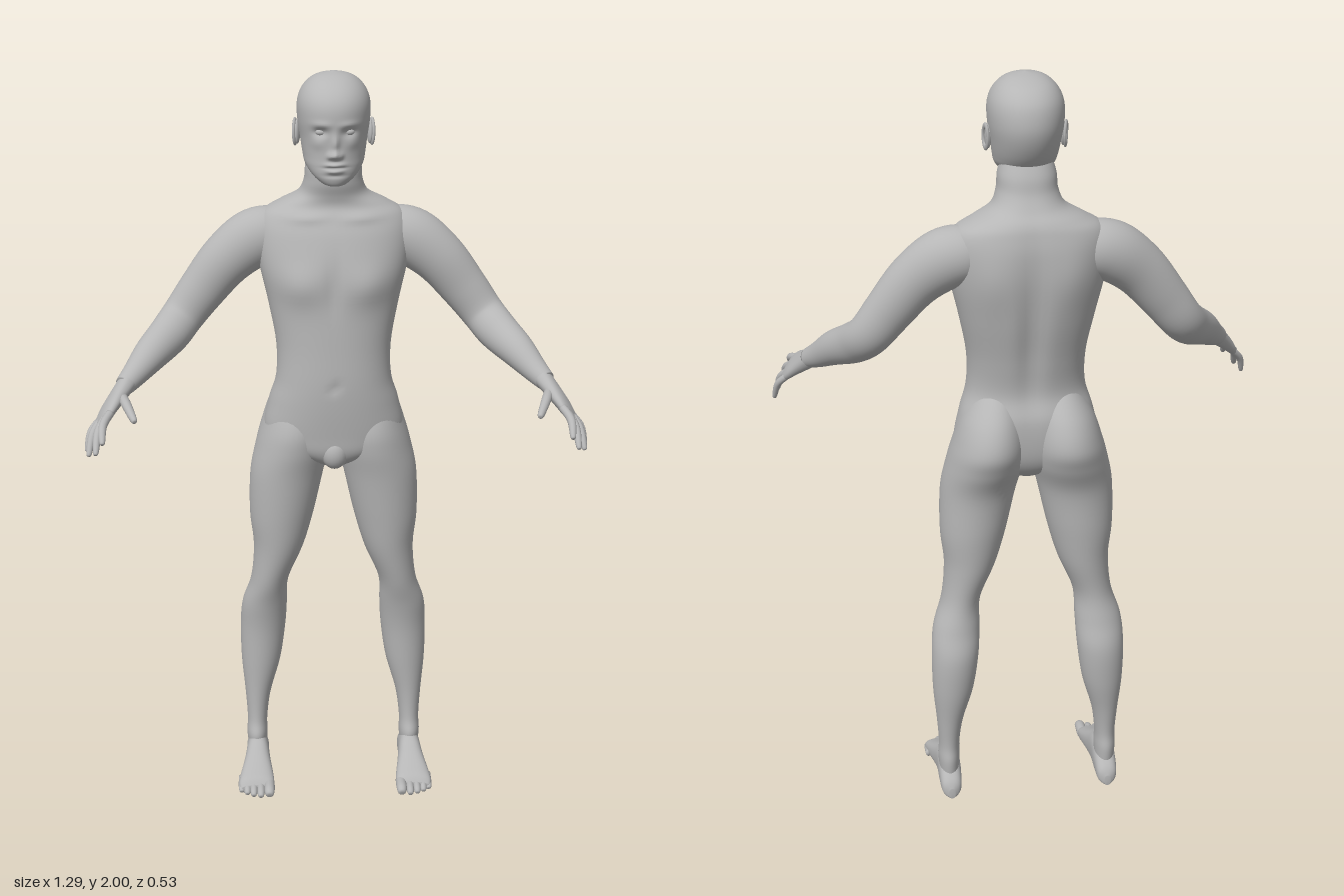
import * as THREE from 'three';

const skin = new THREE.MeshStandardMaterial({ color: 0xb6b6b6 });
skin.name = 'skin grey';

// Smoothly interpolate rows of numbers, k steps between neighbours
function smoothRows(rows, k) {
  const out = [], n = rows.length - 1;
  for (let i = 0; i < n; i++) {
    const a = rows[Math.max(i - 1, 0)], b = rows[i], c = rows[i + 1], d = rows[Math.min(i + 2, n)];
    for (let s = 0; s < k; s++) {
      const t = s / k;
      out.push(b.map((_, j) => b[j] + 0.5 * t * (c[j] - a[j] + t * (2 * a[j] - 5 * b[j] + 4 * c[j] - d[j]
        + t * (3 * (b[j] - c[j]) + d[j] - a[j])))));
    }
  }
  out.push(rows[n].slice());
  return out;
}

// Skin a chain of cross-sections [x, y, z, radius along side, radius across]
function loft(rows, { side = [1, 0, 0], along = null, segs = 32, k = 6, pow = 2, rule = null } = {}) {
  const R = smoothRows(rows, k), pos = [], idx = [], p = new THREE.Vector3();
  const C = R.map(r => new THREE.Vector3(r[0], r[1], r[2]));
  const se = v => Math.sign(v) * Math.abs(v) ** (2 / pow);
  R.forEach((r, i) => {
    const T = along ? new THREE.Vector3(...along)
      : C[Math.min(i + 1, C.length - 1)].clone().sub(C[Math.max(i - 1, 0)]).normalize();
    const U = new THREE.Vector3(...side);
    U.addScaledVector(T, -U.dot(T)).normalize();
    const V = T.clone().cross(U);
    for (let j = 0; j < segs; j++) {
      const a = j / segs * Math.PI * 2;
      p.copy(C[i]).addScaledVector(U, Math.max(r[3], 0.0005) * se(Math.cos(a)))
        .addScaledVector(V, Math.max(r[4], 0.0005) * se(Math.sin(a)));
      if (rule) rule(p, C[i]);
      pos.push(p.x, p.y, p.z);
      if (i < R.length - 1) {
        const q = i * segs + j, w = i * segs + (j + 1) % segs;
        idx.push(q, w, w + segs, q, w + segs, q + segs);
      }
    }
  });
  // close both ends
  const last = (R.length - 1) * segs, c0 = pos.length / 3;
  pos.push(...C[0].toArray(), ...C[C.length - 1].toArray());
  for (let j = 0; j < segs; j++) {
    const m = (j + 1) % segs;
    idx.push(c0, m, j, c0 + 1, last + j, last + m);
  }
  const g = new THREE.BufferGeometry();
  g.setAttribute('position', new THREE.Float32BufferAttribute(pos, 3));
  g.setIndex(idx);
  g.computeVertexNormals();
  return g;
}

// Horizontal slice from height, centre x, half width, front z and back z
const slice = ([y, x, w, f, b]) => [x, y, (f + b) / 2, w, (f - b) / 2];
const upright = (rows, opts) => loft(rows.map(slice), { along: [0, 1, 0], ...opts });

// Soft swellings and hollows [x, y, spread x, spread y, push z], mirrored in x
const sculpt = (front, back) => (p, c) => {
  const facing = Math.min(1, Math.abs(p.z - c.z) / 0.03);
  let dz = 0;
  for (const [x, y, sx, sy, push] of p.z > c.z ? front : back)
    dz += push * Math.exp(-(((Math.abs(p.x) - x) / sx) ** 2) - ((p.y - y) / sy) ** 2);
  p.z += dz * facing;
};

function ball(x, y, z, rx, ry, rz) {
  return new THREE.SphereGeometry(1, 24, 16).scale(rx, ry, rz).translate(x, y, z);
}

function mirrored(geo) {
  const g = geo.clone().scale(-1, 1, 1), a = g.index.array;
  for (let i = 0; i < a.length; i += 3) [a[i], a[i + 1]] = [a[i + 1], a[i]];
  g.computeVertexNormals();
  return g;
}

// Tapered digit through base, middle and tip
function digit(base, mid, tip, r, side) {
  const near = tip.map((v, i) => v + (mid[i] - v) * 0.12);
  return loft([[...base, r, r], [...mid, r, r], [...near, r * 0.72, r * 0.68], [...tip, 0.001, 0.001]],
    { side, segs: 14, k: 5 });
}

export function createModel() {
  const model = new THREE.Group();
  model.name = 'standingFigure';
  const add = (name, geo) => {
    const m = new THREE.Mesh(geo, skin);
    m.name = name;
    model.add(m);
  };
  const pair = (name, geo) => {
    add('left' + name, geo);
    add('right' + name, mirrored(geo));
  };

  // Torso and neck
  add('torso', upright([
    [0.945, 0, 0.02, -0.06, -0.13], [0.965, 0, 0.06, -0.025, -0.17], [1.0, 0, 0.15, -0.004, -0.2],
    [1.05, 0, 0.186, 0.002, -0.215], [1.13, 0, 0.173, 0.009, -0.218], [1.2, 0, 0.153, 0.011, -0.202],
    [1.29, 0, 0.152, 0.007, -0.215], [1.4, 0, 0.172, 0.002, -0.238], [1.5, 0, 0.194, -0.003, -0.25],
    [1.58, 0, 0.2, -0.024, -0.25], [1.63, 0, 0.185, -0.046, -0.242], [1.658, 0, 0.142, -0.058, -0.232],
    [1.685, 0, 0.093, -0.055, -0.212], [1.72, 0, 0.076, -0.045, -0.193], [1.76, 0, 0.072, -0.045, -0.183],
    [1.8, 0, 0.06, -0.06, -0.165]], {
    segs: 72, pow: 2.2,
    rule: sculpt(
      [[0.09, 1.46, 0.06, 0.05, 0.014], [0, 1.47, 0.018, 0.07, -0.006], [0, 1.19, 0.012, 0.014, -0.006],
        [0.07, 1.63, 0.05, 0.012, 0.006]],
      [[0, 1.38, 0.03, 0.2, 0.016], [0.1, 1.52, 0.05, 0.08, -0.008]]),
  }));
  add('groin', ball(0, 1.0, -0.026, 0.036, 0.045, 0.034));

  // Head with sculpted face
  add('head', upright([
    [1.724, 0, 0.008, -0.002, -0.03], [1.73, 0, 0.03, 0.014, -0.05], [1.75, 0, 0.056, 0.022, -0.1],
    [1.775, 0, 0.074, 0.022, -0.155], [1.8, 0, 0.08, 0.021, -0.182], [1.84, 0, 0.086, 0.022, -0.205],
    [1.88, 0, 0.092, 0.028, -0.216], [1.92, 0, 0.093, 0.026, -0.213], [1.95, 0, 0.085, 0.012, -0.2],
    [1.975, 0, 0.067, -0.015, -0.173], [1.992, 0, 0.04, -0.05, -0.132], [2.0, 0, 0.001, -0.088, -0.092]], {
    segs: 112, k: 9, pow: 2.1,
    rule: sculpt(
      [[0.036, 1.863, 0.018, 0.011, -0.011], [0.035, 1.883, 0.024, 0.008, 0.004],
        [0, 1.808, 0.011, 0.01, 0.021], [0, 1.835, 0.009, 0.022, 0.012], [0.013, 1.805, 0.007, 0.007, 0.008],
        [0, 1.783, 0.02, 0.005, 0.01], [0, 1.767, 0.018, 0.005, 0.009], [0, 1.775, 0.026, 0.0025, -0.004],
        [0, 1.755, 0.03, 0.005, -0.003], [0.045, 1.835, 0.018, 0.015, 0.004]], []),
  }));
  pair('Eye', ball(0.035, 1.863, 0.002, 0.014, 0.009, 0.011));

  // Ears: a lobe and a raised rim
  const tilt = g => g.rotateY(Math.PI / 2 + 0.3).rotateX(-0.12).translate(0.092, 1.846, -0.097);
  pair('Ear', tilt(ball(0, 0, 0, 0.014, 0.031, 0.007)));
  pair('EarRim', tilt(new THREE.TorusGeometry(0.014, 0.004, 10, 28).scale(1, 2, 1).translate(0, 0, 0.006)));

  // Legs, from ankle to buttock
  pair('Leg', upright([
    [0.04, 0.218, 0.024, -0.105, -0.178], [0.1, 0.219, 0.029, -0.086, -0.184], [0.15, 0.218, 0.028, -0.098, -0.18],
    [0.23, 0.215, 0.036, -0.1, -0.19], [0.335, 0.205, 0.055, -0.095, -0.208], [0.44, 0.198, 0.063, -0.089, -0.214],
    [0.52, 0.192, 0.062, -0.075, -0.197], [0.6, 0.177, 0.052, -0.054, -0.185], [0.7, 0.152, 0.068, -0.036, -0.195],
    [0.8, 0.142, 0.087, -0.024, -0.205], [0.92, 0.127, 0.099, -0.013, -0.214], [1.0, 0.109, 0.101, -0.003, -0.246],
    [1.06, 0.1, 0.093, -0.005, -0.262], [1.13, 0.092, 0.076, -0.03, -0.238], [1.2, 0.08, 0.045, -0.07, -0.18]],
  { segs: 40 }));

  // Feet, from heel to ball, then toes
  const foot = [[-0.206, 0.218, 0.008, 0.03], [-0.192, 0.218, 0.026, 0.056], [-0.15, 0.218, 0.031, 0.09],
    [-0.1, 0.218, 0.032, 0.104], [-0.055, 0.219, 0.037, 0.086], [0, 0.221, 0.047, 0.058],
    [0.03, 0.222, 0.049, 0.043], [0.046, 0.222, 0.044, 0.026]];
  pair('Foot', loft(foot.map(([z, x, w, h]) => [x, h / 2, z, w, h / 2]), { along: [0, 0, 1], segs: 36, pow: 2.4 }));
  [[0.186, 0.081, 0.0145], [0.21, 0.08, 0.0105], [0.23, 0.073, 0.01], [0.248, 0.062, 0.0095], [0.264, 0.048, 0.009]]
    .forEach(([x, z, r], i) => pair('Toe' + (i + 1),
      digit([x, 0.022, z - 0.06], [x, r + 0.007, z - 0.018], [x, r, z], r, [1, 0, 0])));

  // Arms, from shoulder to wrist
  pair('Arm', loft([
    [0.1, 1.575, -0.155, 0.045, 0.05], [0.15, 1.572, -0.152, 0.066, 0.07], [0.21, 1.556, -0.146, 0.07, 0.077],
    [0.28, 1.503, -0.136, 0.062, 0.07], [0.345, 1.425, -0.13, 0.052, 0.062], [0.395, 1.36, -0.118, 0.048, 0.056],
    [0.43, 1.322, -0.075, 0.048, 0.054], [0.475, 1.287, -0.015, 0.044, 0.046], [0.515, 1.25, 0.035, 0.034, 0.034],
    [0.542, 1.227, 0.07, 0.027, 0.026]], { side: [0, 0, 1], segs: 36 }));

  // Hands: palm, four fingers and thumb
  const across = [-0.43, 0.465, 0.775];
  pair('Palm', loft([
    [0.533, 1.235, 0.058, 0.027, 0.024], [0.56, 1.206, 0.1, 0.035, 0.02], [0.578, 1.186, 0.13, 0.042, 0.017],
    [0.592, 1.167, 0.152, 0.041, 0.013], [0.599, 1.159, 0.163, 0.032, 0.007]], { side: across, pow: 2.3 }));
  [[0.032, 0.588, 1.138, 0.263], [0.011, 0.607, 1.105, 0.249], [-0.011, 0.629, 1.086, 0.205],
    [-0.031, 0.638, 1.082, 0.158]].forEach(([o, ...tip], i) => {
    const base = [0.586, 1.174, 0.143].map((v, j) => v + across[j] * o);
    const mid = base.map((v, j) => (v + tip[j]) / 2 + [0.008, 0.008, 0][j]);
    pair('Finger' + (i + 1), digit(base, mid, tip, i === 3 ? 0.009 : 0.0105, across));
  });
  pair('Thumb', digit([0.55, 1.212, 0.095], [0.532, 1.206, 0.158], [0.508, 1.183, 0.224], 0.0125, across));

  return model;
}
